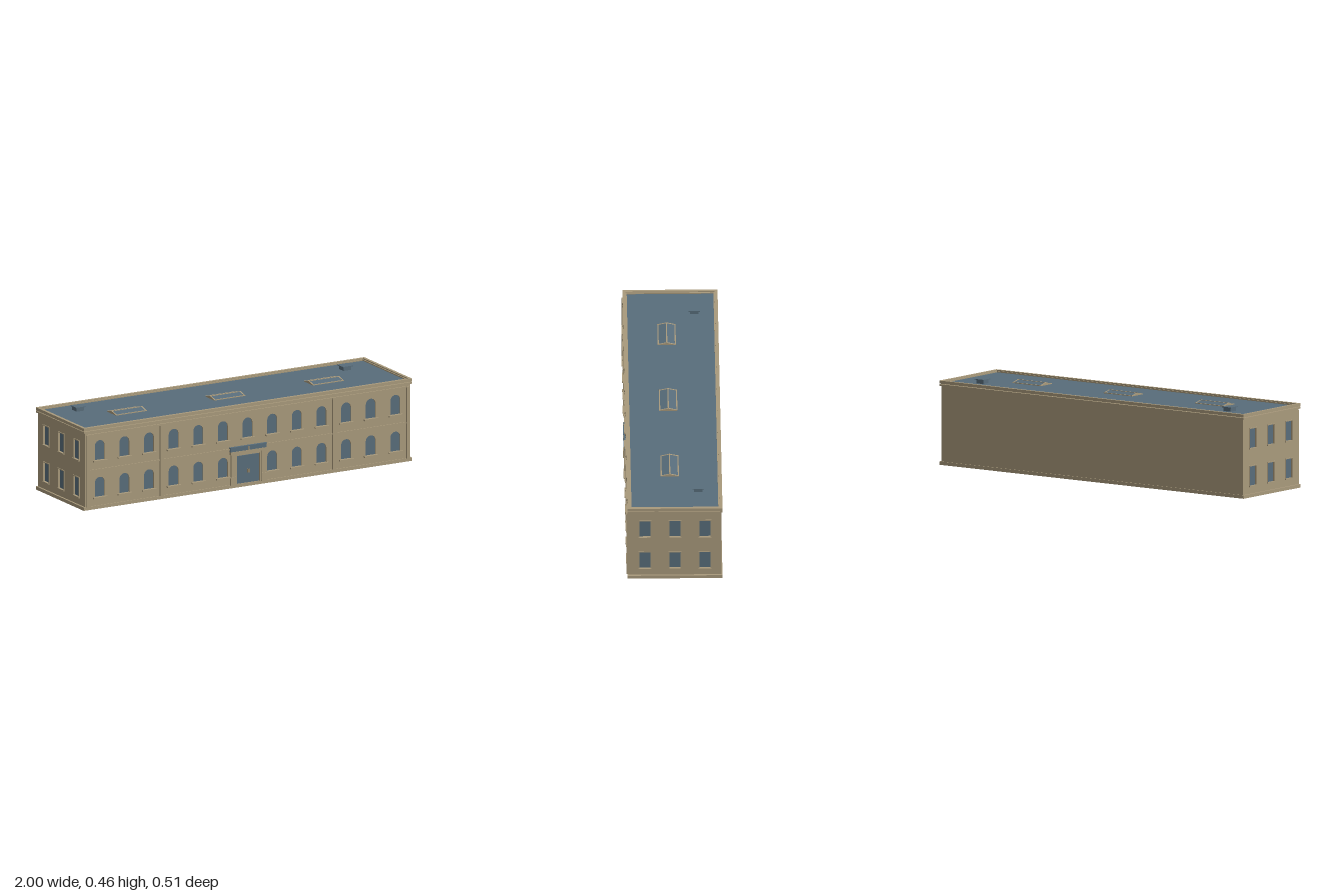
import * as THREE from 'three';

const stone = new THREE.MeshStandardMaterial({ color: 0xa99a7c });
stone.name = 'sandstone';
const slate = new THREE.MeshStandardMaterial({ color: 0x586d7b });
slate.name = 'slate blue';

// Box given by its limits on each axis
function box(parent, name, mat, x0, x1, y0, y1, z0, z1) {
  const m = new THREE.Mesh(new THREE.BoxGeometry(x1 - x0, y1 - y0, z1 - z0), mat);
  m.position.set((x0 + x1) / 2, (y0 + y1) / 2, (z0 + z1) / 2);
  m.name = name;
  parent.add(m);
  return m;
}

// Rectangle outline, with a round arch on top when asked
function outline(Type, x, y, w, h, arched) {
  const p = new Type();
  const r = w / 2;
  p.moveTo(x - r, y);
  p.lineTo(x + r, y);
  if (arched) {
    p.lineTo(x + r, y + h - r);
    p.absarc(x, y + h - r, r, 0, Math.PI, false);
  } else {
    p.lineTo(x + r, y + h);
    p.lineTo(x - r, y + h);
  }
  p.closePath();
  return p;
}

function extrude(parent, name, mat, shape, depth, z) {
  const g = new THREE.ExtrudeGeometry(shape, { depth, bevelEnabled: false, curveSegments: 12 });
  const m = new THREE.Mesh(g, mat);
  m.position.z = z;
  m.name = name;
  parent.add(m);
  return m;
}

// Rectangular ring lying flat around the building
function ring(parent, name, x, z0, z1, y0, y1, t) {
  box(parent, name + 'Front', stone, -x, x, y0, y1, z1 - t, z1);
  box(parent, name + 'Back', stone, -x, x, y0, y1, z0, z0 + t);
  for (const s of [-1, 1]) {
    const c = s * (x - t / 2);
    box(parent, name + 'Side', stone, c - t / 2, c + t / 2, y0, y1, z0 + t, z1 - t);
  }
}

// Front wall: arched openings, glass, sills, pilasters and bands
function makeFacade() {
  const g = new THREE.Group();
  g.name = 'frontFacade';
  const wall = outline(THREE.Shape, 0, 0.015, 1.98, 0.405, false);
  for (let i = -6; i <= 6; i++) {
    for (const y of [0.064, 0.264]) {
      if (i === 0 && y < 0.2) continue;
      const x = i * 0.15;
      wall.holes.push(outline(THREE.Path, x, y, 0.06, 0.107, true));
      const pane = new THREE.Mesh(
        new THREE.ShapeGeometry(outline(THREE.Shape, x, y, 0.06, 0.107, true), 12), slate);
      pane.position.z = 0.233;
      pane.name = 'archedWindow';
      g.add(pane);
      box(g, 'windowSill', stone, x - 0.042, x + 0.042, y - 0.008, y, 0.24, 0.251);
    }
  }
  extrude(g, 'frontWall', stone, wall, 0.008, 0.232);
  for (const x of [-0.975, -0.525, 0.525, 0.975])
    box(g, 'pilaster', stone, x - 0.01, x + 0.01, 0.018, 0.41, 0.24, 0.249);
  for (const [a, b] of [[-0.965, -0.535], [-0.515, 0.515], [0.535, 0.965]]) {
    box(g, 'stringCourse', stone, a, b, 0.208, 0.216, 0.24, 0.245);
    box(g, 'topBand', stone, a, b, 0.401, 0.41, 0.24, 0.247);
  }
  return g;
}

// Entrance with double door, stone surround and canopy
function makeEntrance() {
  const g = new THREE.Group();
  g.name = 'entrance';
  for (const s of [-1, 1]) {
    const limits = (a, b) => (s > 0 ? [a, b] : [-b, -a]);
    box(g, 'doorJamb', stone, ...limits(0.082, 0.105), 0.018, 0.185, 0.24, 0.252);
    box(g, 'jambBase', stone, ...limits(0.08, 0.108), 0.016, 0.062, 0.24, 0.255);
    box(g, 'innerJamb', stone, ...limits(0.07, 0.082), 0.018, 0.185, 0.24, 0.248);
    box(g, 'doorLeaf', slate, ...limits(0.001, 0.066), 0.02, 0.17, 0.24, 0.245);
    box(g, 'doorHandle', stone, ...limits(0.003, 0.006), 0.075, 0.095, 0.245, 0.255);
  }
  box(g, 'doorHead', stone, -0.07, 0.07, 0.173, 0.185, 0.24, 0.248);
  box(g, 'lintel', stone, -0.11, 0.11, 0.183, 0.198, 0.24, 0.254);
  box(g, 'canopy', slate, -0.11, 0.11, 0.198, 0.223, 0.24, 0.252);
  box(g, 'canopyEdge', slate, -0.112, 0.112, 0.219, 0.223, 0.24, 0.254);
  box(g, 'keystone', stone, -0.003, 0.003, 0.198, 0.219, 0.252, 0.2535);
  return g;
}

// End wall in its own frame: local x runs along the depth, local z points out
function makeEndWall(side) {
  const g = new THREE.Group();
  g.name = side > 0 ? 'leftEndWall' : 'rightEndWall';
  const wall = outline(THREE.Shape, 0.005 * side, 0.015, 0.49, 0.405, false);
  for (const z of [0.153, -0.005, -0.163]) {
    for (const y of [0.06, 0.26]) {
      const x = -z * side;
      wall.holes.push(outline(THREE.Path, x, y, 0.056, 0.103, false));
      const pane = new THREE.Mesh(new THREE.PlaneGeometry(0.056, 0.103), slate);
      pane.position.set(x, y + 0.0515, 0.983);
      pane.name = 'sideWindow';
      g.add(pane);
      const frame = outline(THREE.Shape, x, y - 0.004, 0.068, 0.112, false);
      frame.holes.push(outline(THREE.Path, x, y, 0.056, 0.103, false));
      extrude(g, 'windowFrame', stone, frame, 0.004, 0.99);
      box(g, 'sideSill', stone, x - 0.034, x + 0.034, y - 0.006, y, 0.99, 0.997);
    }
  }
  extrude(g, 'endWallPanel', stone, wall, 0.008, 0.982);
  g.rotation.y = side * Math.PI / 2;
  return g;
}

// Low gabled skylight with stone ends, edges and ridge
function makeSkylight(x) {
  const g = new THREE.Group();
  g.name = 'skylight';
  const gable = new THREE.Shape([[-0.046, 0], [0.046, 0], [0.046, 0.003], [0, 0.014], [-0.046, 0.003]]
    .map(([a, b]) => new THREE.Vector2(a, b)));
  const addRun = (name, mat, a, b, lift) => {
    const m = extrude(g, name, mat, gable, b - a, 0);
    m.rotation.y = Math.PI / 2;
    m.position.set(a, lift, 0);
  };
  addRun('skylightGlass', slate, -0.088, 0.088, 0);
  addRun('skylightEnd', stone, -0.094, -0.087, 0.001);
  addRun('skylightEnd', stone, 0.087, 0.094, 0.001);
  box(g, 'skylightRidge', stone, -0.094, 0.094, 0.0125, 0.0155, -0.003, 0.003);
  for (const s of [-1, 1])
    box(g, 'skylightCurb', stone, -0.094, 0.094, 0, 0.005, s * 0.045 - 0.003, s * 0.045 + 0.003);
  g.position.set(x, 0.435, 0.018);
  return g;
}

export function createModel() {
  const building = new THREE.Group();
  building.name = 'longHall';

  // Main mass, plinth and cornice
  box(building, 'bodyCore', stone, -0.982, 0.982, 0.002, 0.42, -0.25, 0.232);
  box(building, 'plinth', stone, -1, 1, 0, 0.018, -0.255, 0.245);
  box(building, 'cornice', stone, -1, 1, 0.42, 0.429, -0.255, 0.245);
  box(building, 'corniceRecess', stone, -0.985, 0.985, 0.429, 0.434, -0.236, 0.226);
  ring(building, 'parapet', 1, -0.255, 0.245, 0.432, 0.448, 0.016);
  ring(building, 'parapetInnerStep', 0.984, -0.239, 0.229, 0.433, 0.442, 0.006);
  box(building, 'roofDeck', slate, -0.98, 0.98, 0.431, 0.436, -0.235, 0.225);

  // Walls with openings
  building.add(makeFacade(), makeEntrance(), makeEndWall(1), makeEndWall(-1));

  // Rooftop skylights and vents
  for (const x of [-0.605, -0.005, 0.595]) building.add(makeSkylight(x));
  for (const x of [-0.815, 0.81]) {
    box(building, 'ventBase', slate, x - 0.023, x + 0.023, 0.435, 0.456, -0.153, -0.107);
    box(building, 'ventCap', slate, x - 0.03, x + 0.03, 0.456, 0.46, -0.16, -0.1);
  }
  return building;
}
